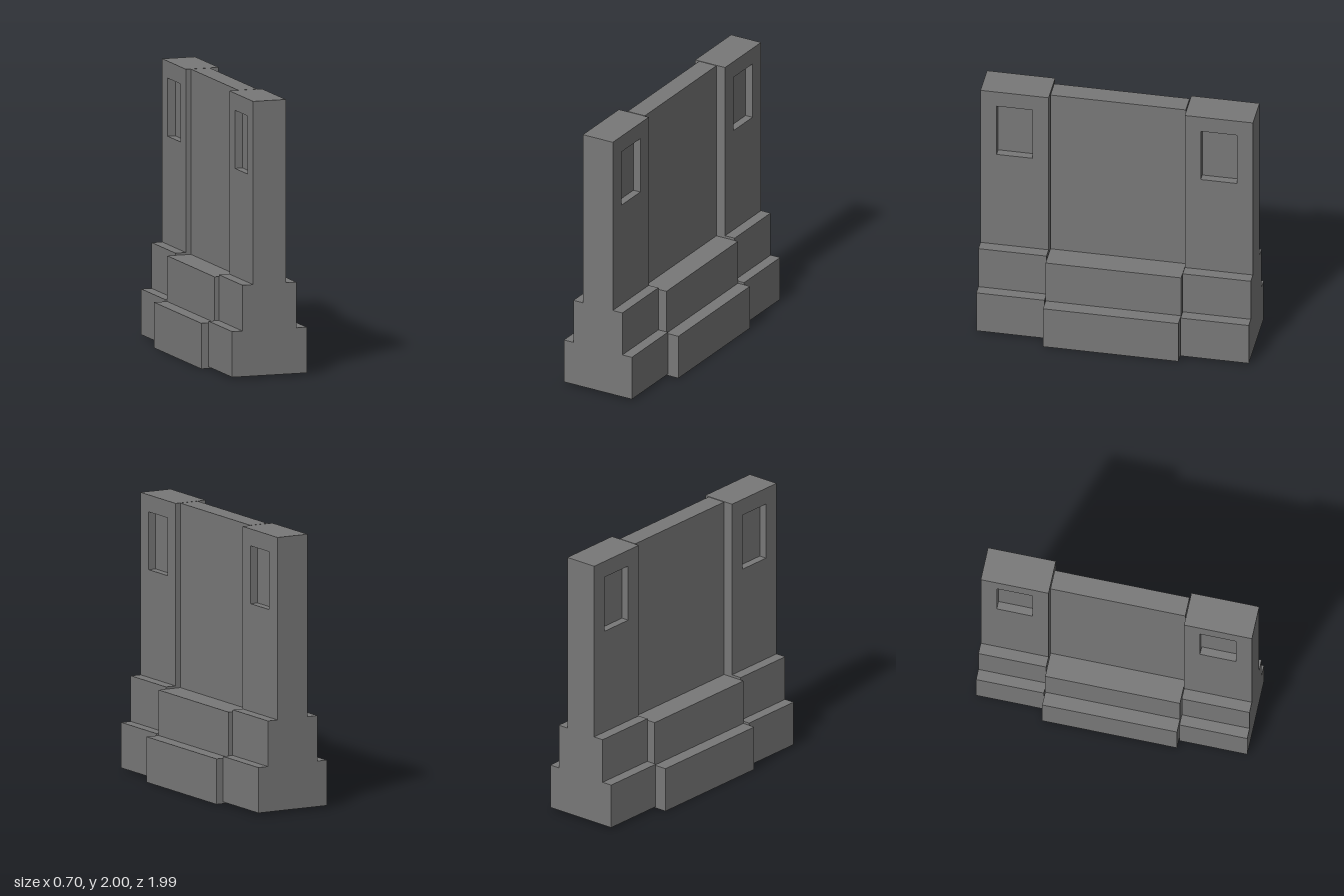
import * as THREE from 'three';

const material = new THREE.MeshStandardMaterial({ color: 0x787878, flatShading: true });

// Stepped slab: tiers are [left, right, top], stacked from y = bottom, running from z0 to z1
function steppedSlab(name, bottom, tiers, z0, z1) {
  const right = [], left = [];
  let y = bottom;
  for (const [l, r, top] of tiers) {
    right.push([r, y], [r, top]);
    left.unshift([l, top], [l, y]);
    y = top;
  }
  const shape = new THREE.Shape([...right, ...left].map(p => new THREE.Vector2(...p)));
  const geometry = new THREE.ExtrudeGeometry(shape, { depth: z1 - z0, bevelEnabled: false });
  const mesh = new THREE.Mesh(geometry, material);
  mesh.name = name;
  mesh.position.z = z0;
  return mesh;
}

function rectangle(path, u0, u1, v0, v1) {
  return path.moveTo(u0, v0).lineTo(u1, v0).lineTo(u1, v1).lineTo(u0, v1).closePath();
}

const Z0 = 0.498, Z1 = 0.993; // extent of an end pier along the wall
const POCKET = 0.058;         // depth of the blind windows

// Wall facing with a window hole, lying in the z-y plane between x0 and x1
function windowPanel(name, x0, x1) {
  const shape = rectangle(new THREE.Shape(), Z0, Z1, 0.675, 2);
  shape.holes.push(rectangle(new THREE.Path(), 0.614, 0.876, 1.457, 1.877));
  const geometry = new THREE.ExtrudeGeometry(shape, { depth: x1 - x0, bevelEnabled: false });
  geometry.rotateY(-Math.PI / 2);
  const mesh = new THREE.Mesh(geometry, material);
  mesh.name = name;
  mesh.position.x = x1;
  return mesh;
}

// End pier, slightly off the wall's centre line
function endPier(name) {
  const pier = new THREE.Group();
  pier.name = name;
  const l = -0.141, r = 0.108;
  pier.add(
    steppedSlab('pierCore', 0.014, [
      [-0.3, 0.267, 0.344],
      [-0.221, 0.188, 0.675],
      [l + POCKET, r - POCKET, 2],
    ], Z0, Z1),
    windowPanel('rightWindowPanel', l, l + POCKET),
    windowPanel('leftWindowPanel', r - POCKET, r),
  );
  return pier;
}

export function createModel() {
  const model = new THREE.Group();
  model.name = 'wallSection';

  // Middle wall on its wider stepped footing
  model.add(steppedSlab('middleWall', 0, [
    [-0.352, 0.352, 0.33],
    [-0.252, 0.252, 0.66],
    [-0.072, 0.072, 2],
  ], -0.492, 0.492));

  // Two identical piers, the rear one turned half round
  const front = endPier('frontPier');
  const back = endPier('backPier');
  back.rotation.y = Math.PI;
  model.add(front, back);
  return model;
}
